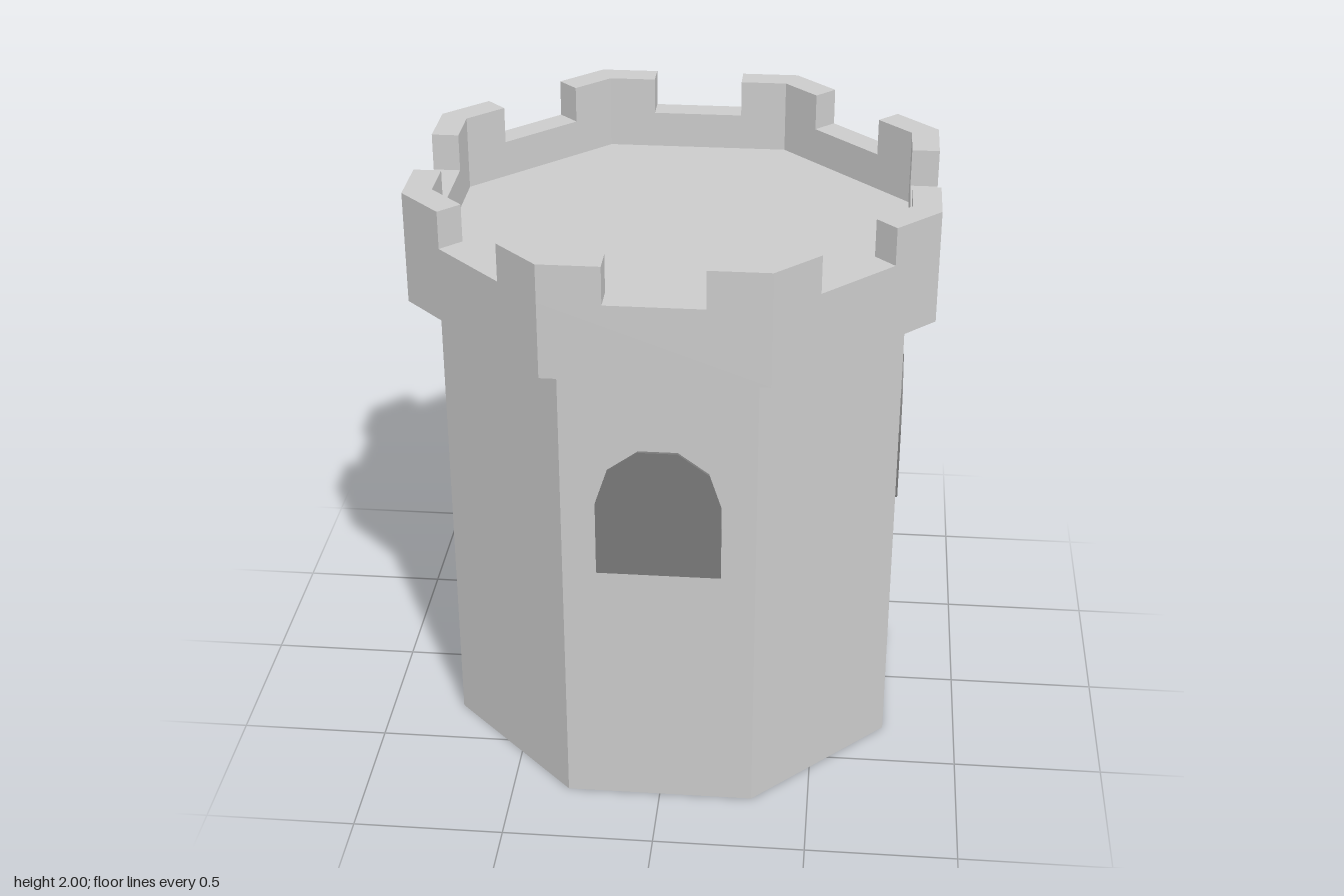
import * as THREE from 'three';

const SIDES = 8, STEP = (Math.PI * 2) / SIDES;
const OUTER = 0.845, INNER = 0.755, WALL = 0.75; // distances from axis to the flat faces
const GAP = 0.155; // half width of a notch
const NOTCH_Y = 1.875, TOP_Y = 2, FLOOR_Y = 1.75;
const cornerRadius = (apothem) => apothem / Math.cos(STEP / 2);

export function createModel() {
  const tower = new THREE.Group();
  tower.name = 'tower';
  const stone = new THREE.MeshStandardMaterial({ color: 0xcccccc, flatShading: true });
  const dark = new THREE.MeshStandardMaterial({ color: 0x7a7a7a, flatShading: true });

  const add = (name, geometry, material) => {
    const mesh = new THREE.Mesh(geometry, material);
    mesh.name = name;
    tower.add(mesh);
    return mesh;
  };

  // Octagonal wall, flared parapet and sunken roof floor in one profile
  const profile = [
    [0, 0], [WALL, 0], [WALL, 1.597], [OUTER, 1.625],
    [OUTER, NOTCH_Y], [INNER, NOTCH_Y], [INNER, FLOOR_Y], [0, FLOOR_Y],
  ].map(([a, y]) => new THREE.Vector2(cornerRadius(a), y));
  add('towerBody', new THREE.LatheGeometry(profile, SIDES, STEP / 2), stone);

  // Merlons: bent blocks wrapping each corner of the parapet
  const onFace = (angle, apothem, along) => new THREE.Vector2(
    apothem * Math.cos(angle) - along * Math.sin(angle),
    apothem * Math.sin(angle) + along * Math.cos(angle));
  const merlonShape = new THREE.Shape([
    onFace(0, OUTER, GAP),
    onFace(STEP / 2, cornerRadius(OUTER), 0),
    onFace(STEP, OUTER, -GAP),
    onFace(STEP, INNER, -GAP),
    onFace(STEP / 2, cornerRadius(INNER), 0),
    onFace(0, INNER, GAP),
  ]);
  const merlonGeometry = new THREE.ExtrudeGeometry(merlonShape, { depth: TOP_Y - NOTCH_Y, bevelEnabled: false });
  merlonGeometry.rotateX(-Math.PI / 2).translate(0, NOTCH_Y, 0);
  for (let i = 0; i < SIDES; i++) {
    add('merlon', merlonGeometry, stone).rotation.y = i * STEP;
  }

  // Arched windows standing slightly proud of four faces
  const windowShape = new THREE.Shape([
    [-0.2, 0.885], [0.2, 0.885], [0.2, 1.14], [0.16, 1.262], [0.062, 1.333],
    [-0.062, 1.333], [-0.16, 1.262], [-0.2, 1.14],
  ].map(([x, y]) => new THREE.Vector2(x, y)));
  const windowGeometry = new THREE.ExtrudeGeometry(windowShape, { depth: 0.03, bevelEnabled: false });
  windowGeometry.translate(0, 0, WALL - 0.02);
  for (let i = 0; i < 4; i++) {
    add('window', windowGeometry, dark).rotation.y = (i * Math.PI) / 2;
  }
  return tower;
}
